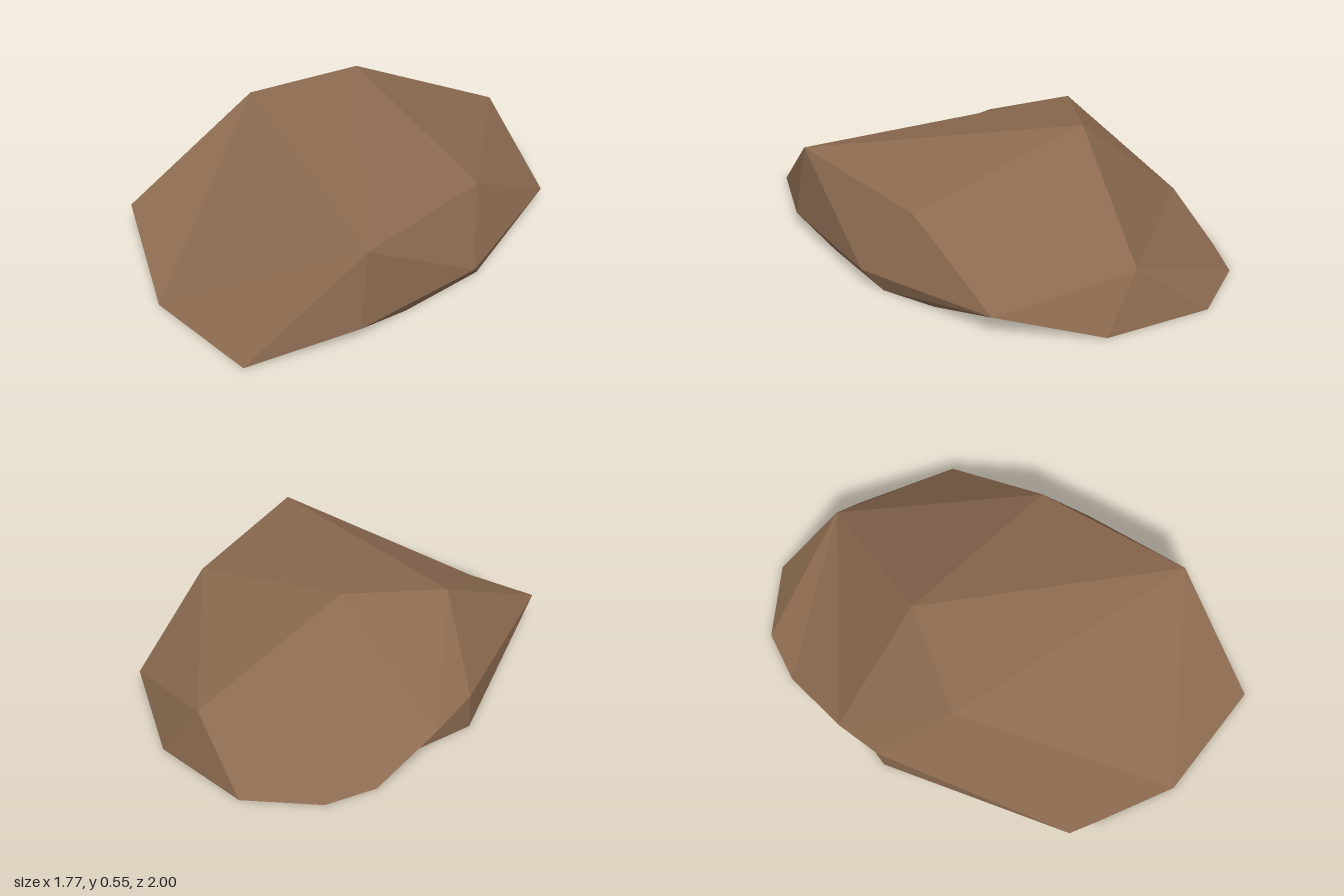
import * as THREE from 'three';

// Corners of the crown, shared by many facets
const peak = [0.085, 0.55, -0.37];
const crownLeft = [-0.38, 0.47, -0.29];
const crownFront = [0.085, 0.4, 0.805];
const crownRight = [0.56, 0.36, 0.285];
const crownBack = [0.71, 0.235, -0.61];

// Widest corners of the rock, some of them resting on the ground
const front = [-0.4, 0, 1];
const frontMid = [0.06, 0.07, 0.86];
const frontRight = [0.54, 0.08, 0.5];
const right = [0.885, 0.095, -0.06];
const backRight = [0.845, 0, -0.505];
const backCorner = [0.6, 0, -0.9];
const back = [0.285, 0, -1];
const backMid = [0.065, 0, -0.94];
const backNotch = [-0.22, 0.113, -0.77];
const backLeft = [-0.395, 0.158, -0.625];
const left = [-0.89, 0.155, 0.1];
const frontLeft = [-0.75, 0, 0.595];

// Ground corners tucked below the widest ring
const footFront = [-0.03, 0, 0.78];
const footMid = [0.25, 0, 0.66];
const footRight = [0.56, 0, 0.41];
const footSide = [0.67, 0, 0.19];
const footBack = [-0.09, 0, -0.75];
const footBackLeft = [-0.4, 0, -0.61];
const footLeft = [-0.83, 0, 0.24];

// Cross-sections around the rock: [foot, widest corner, crown]
const sections = [
  [front, front, crownFront],
  [footFront, frontMid, crownFront],
  [footMid, frontMid, crownFront],
  [footRight, frontRight, crownFront],
  [footRight, frontRight, crownRight],
  [footSide, right, crownRight],
  [footSide, right, crownBack],
  [backRight, backRight, crownBack],
  [backCorner, backCorner, crownBack],
  [back, back, crownBack],
  [backMid, backMid, crownBack],
  [footBack, backNotch, crownBack],
  [footBack, backNotch, peak],
  [footBack, backNotch, crownLeft],
  [footBackLeft, backLeft, crownLeft],
  [footLeft, left, crownLeft],
  [frontLeft, frontLeft, crownLeft],
  [frontLeft, frontLeft, crownFront],
];

export function createModel() {
  const positions = [];
  const facet = (a, b, c) => {
    if (a !== b && b !== c && a !== c) positions.push(...a, ...b, ...c);
  };

  // Undercut and sloping sides, joined section by section
  sections.forEach((a, i) => {
    const b = sections[(i + 1) % sections.length];
    for (let k = 0; k < 2; k++) {
      facet(a[k], b[k], b[k + 1]);
      facet(a[k], b[k + 1], a[k + 1]);
    }
  });

  // Top facets fanned from the peak
  const crown = [crownLeft, crownFront, crownRight, crownBack];
  for (let i = 0; i < crown.length - 1; i++) facet(peak, crown[i], crown[i + 1]);

  const geometry = new THREE.BufferGeometry();
  geometry.setAttribute('position', new THREE.Float32BufferAttribute(positions, 3));
  geometry.computeVertexNormals();

  // The shell is open underneath
  const stone = new THREE.MeshStandardMaterial({
    name: 'brownStone', color: 0x8b6a50, flatShading: true, side: THREE.DoubleSide,
  });
  const rock = new THREE.Mesh(geometry, stone);
  rock.name = 'rockShell';

  const group = new THREE.Group();
  group.name = 'rock';
  group.add(rock);
  return group;
}
